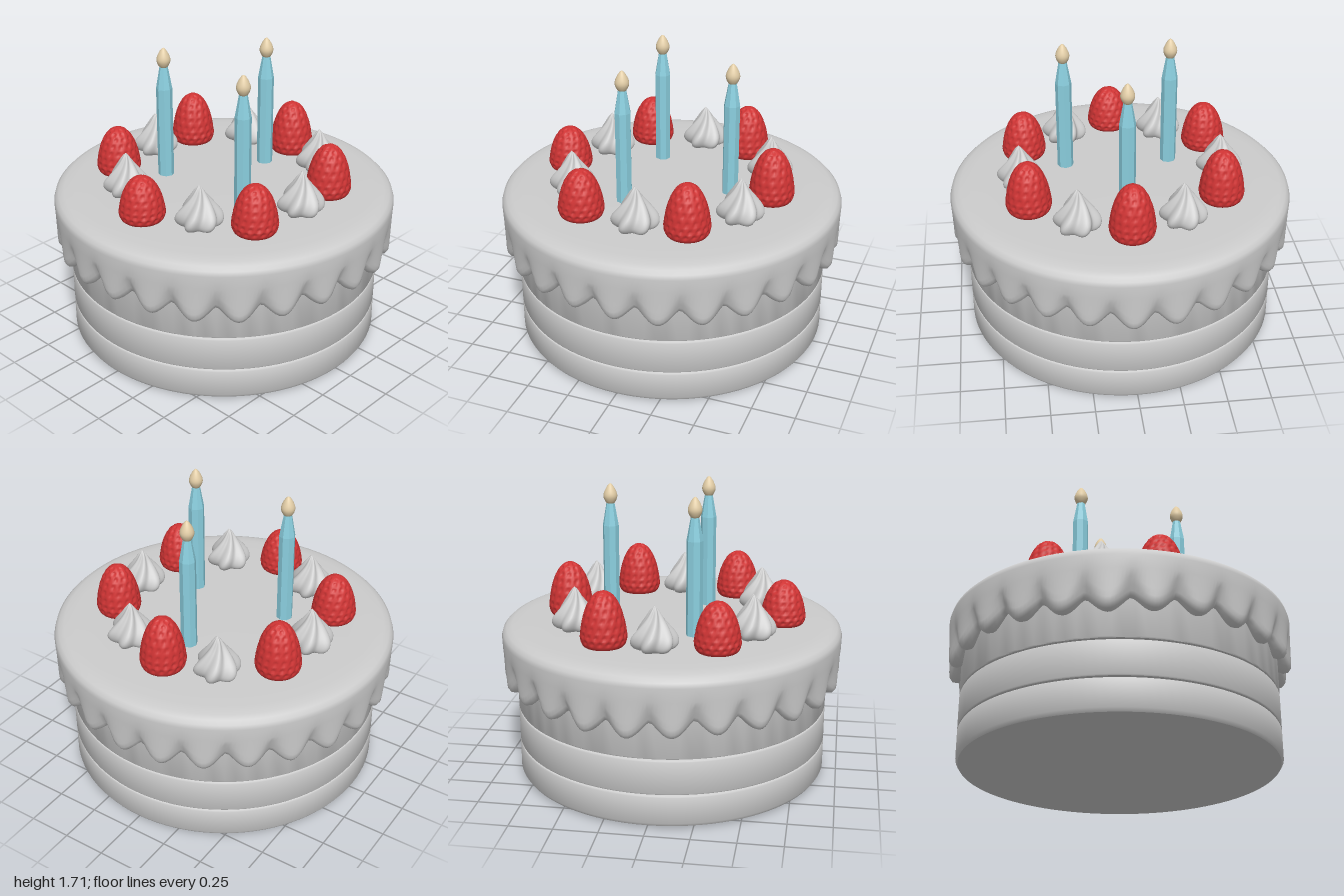
import * as THREE from 'three';
import { toCreasedNormals } from 'three/addons/utils/BufferGeometryUtils.js';

const mat = (name, color) => Object.assign(new THREE.MeshStandardMaterial({ color }), { name });
const V2 = (x, y) => new THREE.Vector2(x, y);

// Closed ring surface: fn(row, angle) returns [radius, y]; rows run from bottom to top.
function loft(rows, cols, fn) {
  const pos = [], index = [];
  for (let i = 0; i < rows; i++) {
    for (let j = 0; j < cols; j++) {
      const a = (j / cols) * Math.PI * 2;
      const [r, y] = fn(i, a);
      pos.push(r * Math.sin(a), y, r * Math.cos(a));
      if (i === rows - 1) continue;
      const p = i * cols + j, q = i * cols + ((j + 1) % cols);
      index.push(p, q, q + cols, p, q + cols, p + cols);
    }
  }
  const g = new THREE.BufferGeometry();
  g.setAttribute('position', new THREE.Float32BufferAttribute(pos, 3));
  g.setIndex(index);
  g.computeVertexNormals();
  return g;
}

// Sponge with two grooves between its layers
function spongeGeometry() {
  const pts = [V2(0, 0), V2(0.88, 0.01), V2(0.905, 0.015), V2(0.918, 0.035)];
  for (const y of [0.2, 0.407]) {
    pts.push(V2(0.918, y - 0.012), V2(0.914, y - 0.005), V2(0.902, y), V2(0.914, y + 0.005), V2(0.918, y + 0.012));
  }
  pts.push(V2(0.918, 0.75), V2(0, 0.75));
  return toCreasedNormals(new THREE.LatheGeometry(pts, 96), 0.6);
}

// Icing cap with a ring of drips along its lower edge
function icingGeometry() {
  const profile = (a) => {
    const drip = Math.pow(0.5 + 0.5 * Math.cos(25 * (a - 0.09)), 0.65);
    const low = 0.635 - 0.085 * drip + 0.01 * Math.sin(5 * a + 1);
    return [
      [0.9, low + 0.02], [0.925 + 0.02 * drip, low], [0.945 + 0.03 * drip, low + 0.006],
      [0.955 + 0.037 * drip, low + 0.03], [0.968 + 0.027 * drip, low + 0.06],
      [0.985 + 0.01 * drip, low + 0.1], [0.997, 0.77], [1, 0.845], [0.992, 0.872],
      [0.972, 0.892], [0.94, 0.904], [0.88, 0.911], [0.75, 0.914], [0, 0.915],
    ];
  };
  return loft(14, 300, (i, a) => profile(a)[i]);
}

// Strawberry of height 1, covered in small seed pits
function strawberryGeometry() {
  const curve = new THREE.SplineCurve([
    V2(0, 0), V2(0.1, 0), V2(0.129, 0.04), V2(0.127, 0.09), V2(0.114, 0.16),
    V2(0.092, 0.225), V2(0.062, 0.275), V2(0.03, 0.3), V2(0, 0.307),
  ]);
  const seeds = [];
  for (let k = 0; k < 9; k++) {
    const p = curve.getPoint(0.26 + k * 0.083);
    const n = Math.max(1, Math.round((2 * Math.PI * p.x) / 0.047));
    for (let j = 0; j < n; j++) {
      const a = ((j + (k % 2) / 2) / n) * Math.PI * 2;
      seeds.push(new THREE.Vector3(p.x * Math.sin(a), p.y, p.x * Math.cos(a)));
    }
  }
  const v = new THREE.Vector3(), rows = 46;
  return loft(rows, 84, (i, a) => {
    const p = curve.getPoint(i / (rows - 1));
    const r = Math.max(0, p.x);
    v.set(r * Math.sin(a), p.y, r * Math.cos(a));
    let d = 1;
    for (const s of seeds) d = Math.min(d, v.distanceTo(s));
    const dent = 0.01 * Math.max(0, 1 - (d / 0.015) ** 2);
    return [Math.max(0, r - dent), p.y];
  });
}

// Piped cream star, twisting to a point
function creamGeometry() {
  const curve = new THREE.SplineCurve([
    V2(0.06, 0), V2(0.1, 0.015), V2(0.118, 0.045), V2(0.112, 0.085), V2(0.08, 0.135),
    V2(0.046, 0.185), V2(0.02, 0.23), V2(0, 0.255),
  ]);
  const rows = 22;
  return loft(rows, 72, (i, a) => {
    const t = i / (rows - 1), p = curve.getPoint(t);
    const ridge = 1 + 0.14 * Math.cos(6 * (a - 1.3 * t * t));
    return [Math.max(0, p.x) * ridge, p.y];
  });
}

export function createModel() {
  const cake = new THREE.Group();
  cake.name = 'birthdayCake';
  const cream = mat('cream', 0xcccccc);
  const red = mat('strawberryRed', 0xd03434);
  const blue = mat('candleBlue', 0x8bcfdf);
  blue.flatShading = true;
  const glow = mat('flameTan', 0xe2cda6);

  const add = (parent, name, geometry, material, x = 0, y = 0, z = 0) => {
    const m = new THREE.Mesh(geometry, material);
    m.name = name;
    m.position.set(x, y, z);
    parent.add(m);
    return m;
  };

  add(cake, 'sponge', spongeGeometry(), cream);
  add(cake, 'icing', icingGeometry(), cream);

  // Ring of strawberries: x, z, height
  const berry = strawberryGeometry();
  const berries = [
    [0, -0.61, 0.322], [0.55, -0.295, 0.31], [0.55, 0.335, 0.285],
    [0, 0.655, 0.262], [-0.55, 0.335, 0.285], [-0.55, -0.295, 0.315],
  ];
  berries.forEach(([x, z, h], i) => {
    const m = add(cake, 'strawberry', berry, red, x, 0.908, z);
    m.scale.y = h / 0.307;
    m.rotation.y = i * 1.1;
  });

  // Cream stars between the strawberries
  const star = creamGeometry();
  for (let i = 0; i < 6; i++) {
    const a = (i / 6) * Math.PI * 2;
    add(cake, 'creamStar', star, cream, 0.588 * Math.cos(a), 0.91, 0.588 * Math.sin(a) - 0.005).rotation.y = 0.2;
  }

  // Three candles with teardrop flames
  const candle = new THREE.LatheGeometry(
    [V2(0.047, 0), V2(0.047, 0.56), V2(0.024, 0.69), V2(0, 0.69)], 8);
  const flame = new THREE.LatheGeometry(
    new THREE.SplineCurve([
      V2(0, 0), V2(0.022, 0.006), V2(0.038, 0.035), V2(0.039, 0.06),
      V2(0.027, 0.09), V2(0.012, 0.113), V2(0, 0.122),
    ]).getPoints(20).map((p) => V2(Math.max(0, p.x), p.y)), 24);
  for (const [x, z] of [[0, -0.36], [0.31, 0.175], [-0.31, 0.175]]) {
    const g = new THREE.Group();
    g.name = 'candle';
    g.position.set(x, 0.9, z);
    add(g, 'candleStick', candle, blue);
    add(g, 'flame', flame, glow, 0, 0.683, 0);
    cake.add(g);
  }
  return cake;
}
